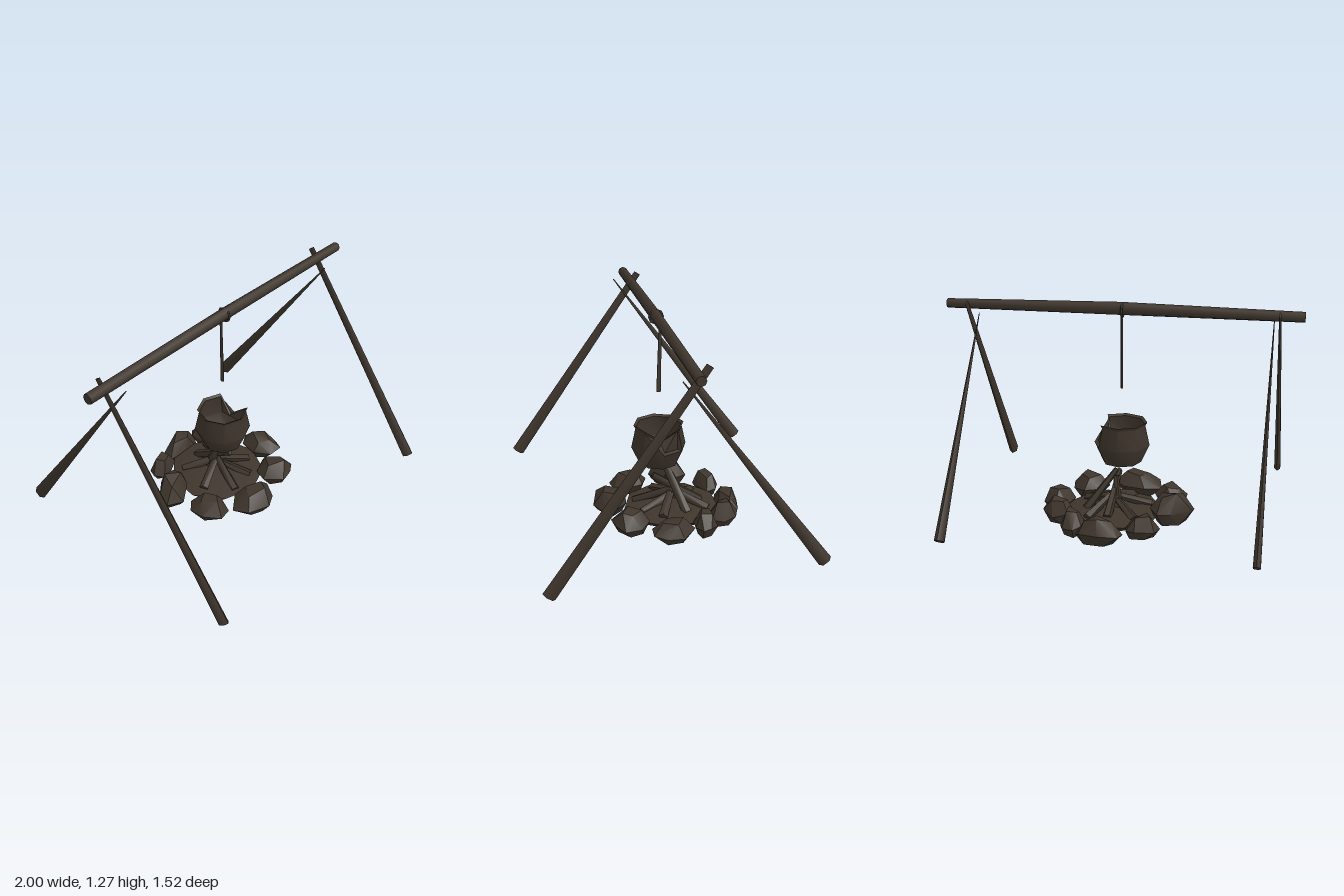
import * as THREE from 'three';
import { toCreasedNormals } from 'three/addons/utils/BufferGeometryUtils.js';
import { ConvexGeometry } from 'three/addons/geometries/ConvexGeometry.js';

const charredBrown = new THREE.MeshStandardMaterial({ color: 0x3f362d, side: THREE.DoubleSide });
charredBrown.name = 'charredBrown';

// Small seeded random generator
function makeRandom(seed) {
  return () => {
    seed = (seed * 16807) % 2147483647;
    return seed / 2147483647;
  };
}

function addMesh(parent, name, geometry) {
  const mesh = new THREE.Mesh(geometry, charredBrown);
  mesh.name = name;
  parent.add(mesh);
  return mesh;
}

// Tapered pole from a to b, with [x, z] radii at each end
function addPole(parent, name, a, b, [ax, az], [bx, bz], sides = 6) {
  const start = new THREE.Vector3(...a), end = new THREE.Vector3(...b);
  const dir = end.clone().sub(start);
  const geo = new THREE.CylinderGeometry(1, 1, dir.length(), sides);
  const p = geo.attributes.position;
  for (let i = 0; i < p.count; i++) {
    const top = p.getY(i) > 0;
    p.setX(i, p.getX(i) * (top ? bx : ax));
    p.setZ(i, p.getZ(i) * (top ? bz : az));
  }
  const mesh = addMesh(parent, name, toCreasedNormals(geo, 1.2));
  mesh.position.copy(start).add(end).multiplyScalar(0.5);
  mesh.quaternion.setFromUnitVectors(new THREE.Vector3(0, 1, 0), dir.normalize());
  return mesh;
}

// Irregular convex stone made of three jittered rings
function stoneGeometry(w, h, d, seed) {
  const random = makeRandom(seed * 7919 + 13);
  const points = [];
  for (const [y, r, n] of [[-0.5, 0.32, 5], [-0.08, 0.5, 7], [0.5, 0.27, 4]]) {
    const turn = random() * 6;
    for (let i = 0; i < n; i++) {
      const angle = turn + (i + (random() - 0.5) * 0.4) / n * Math.PI * 2;
      const radius = r * (0.9 + random() * 0.2);
      const lift = y < -0.4 ? 0 : (random() - 0.6) * 0.22;
      points.push(new THREE.Vector3(Math.cos(angle) * radius * w, (y + lift) * h, Math.sin(angle) * radius * d));
    }
  }
  return toCreasedNormals(new ConvexGeometry(points), 0.55);
}

export function createModel() {
  const model = new THREE.Group();
  model.name = 'campfire';

  // Crossbar, thickest in the middle
  const bar = new THREE.CylinderGeometry(0.027, 0.029, 2, 8, 2);
  const bp = bar.attributes.position;
  for (let i = 0; i < bp.count; i++) {
    if (Math.abs(bp.getY(i)) < 0.1) {
      bp.setX(i, bp.getX(i) * 1.3 - 0.008);
    }
  }
  bar.rotateZ(-Math.PI / 2);
  const crossbar = addMesh(model, 'crossbar', toCreasedNormals(bar, 0.9));
  crossbar.position.y = 1.221;
  crossbar.rotation.y = -0.006;

  // Front legs stay thick, back legs run to a point
  const base = [0.027, 0.038];
  addPole(model, 'frontLegLeft', [0.868, 0.09, 0.73], [0.86, 1.24, -0.073], base, [0.007, 0.021]);
  addPole(model, 'frontLegRight', [-0.88, 0.09, 0.73], [-0.868, 1.24, -0.073], [0.022, 0.038], [0.007, 0.021]);
  addPole(model, 'backLegLeft', [0.842, 0.09, -0.73], [0.832, 1.16, 0.05], base, [0.002, 0.003]);
  addPole(model, 'backLegRight', [-0.83, 0.09, -0.73], [-0.835, 1.22, 0.085], [0.023, 0.038], [0.002, 0.003]);

  // Hanger with its loop around the crossbar
  addPole(model, 'hangerRod', [-0.01, 0.78, -0.02], [-0.01, 1.23, -0.03], [0.007, 0.013], [0.006, 0.008]);
  const loop = addMesh(model, 'hangerLoop', new THREE.TorusGeometry(0.038, 0.007, 4, 8));
  loop.rotation.y = Math.PI / 2;
  loop.position.set(-0.01, 1.22, -0.005);

  // Open pot with a dent in its rim
  const profile = [[0, 0.345], [0.112, 0.345], [0.16, 0.45], [0.135, 0.565], [0.146, 0.585],
    [0.13, 0.575], [0.14, 0.45], [0.09, 0.37], [0, 0.365]];
  const potGeo = new THREE.LatheGeometry(profile.map(([x, y]) => new THREE.Vector2(x, y)), 8);
  const pp = potGeo.attributes.position;
  for (let i = 0; i < pp.count; i++) {
    if (pp.getY(i) < 0.56) continue;
    if (pp.getX(i) > 0.12) {
      pp.setY(i, pp.getY(i) - 0.075);
      pp.setX(i, pp.getX(i) - 0.07);
    }
  }
  const pot = addMesh(model, 'pot', toCreasedNormals(potGeo, 0.85));
  pot.position.set(-0.01, 0, -0.02);

  // Low bed of ash inside the ring
  const bedProfile = [[0, 0.045], [0.25, 0.045], [0.28, 0.075], [0.16, 0.1], [0, 0.11]];
  const bed = addMesh(model, 'ashBed', toCreasedNormals(
    new THREE.LatheGeometry(bedProfile.map(([x, y]) => new THREE.Vector2(x, y)), 9), 0.5));
  bed.position.set(0.02, 0, -0.09);

  // Ring of stones: x, z, width, depth, bottom, height, turn
  const stones = [
    [0.05, -0.41, 0.27, 0.14, 0, 0.15, 0],
    [-0.18, -0.35, 0.21, 0.13, 0.03, 0.12, 0.35],
    [0.21, -0.35, 0.14, 0.19, 0.02, 0.14, 0.5],
    [0.32, -0.22, 0.21, 0.14, 0.03, 0.14, -0.3],
    [0.36, -0.02, 0.2, 0.24, 0.035, 0.12, 0],
    [0.22, 0.19, 0.22, 0.22, 0.035, 0.13, 0.6],
    [-0.06, 0.26, 0.29, 0.21, 0.035, 0.14, 0],
    [-0.28, 0.11, 0.19, 0.23, 0.04, 0.12, 0.3],
    [-0.32, -0.14, 0.27, 0.18, 0.04, 0.18, 0.6],
  ];
  stones.forEach(([x, z, w, d, bottom, h, turn], i) => {
    const stone = addMesh(model, 'stone' + (i + 1), stoneGeometry(w, h, d, i + 1));
    stone.position.set(x, bottom + h / 2, z);
    stone.rotation.y = turn;
  });

  // Firewood leaning together under the pot
  const logs = [
    [[0.17, 0.09, -0.15], [0.01, 0.31, -0.065]],
    [[0.03, 0.09, -0.26], [0.01, 0.27, 0.02]],
    [[-0.01, 0.08, -0.13], [0.015, 0.27, -0.07]],
    [[-0.18, 0.09, -0.02], [0.03, 0.17, -0.1]],
    [[-0.12, 0.08, -0.24], [0.04, 0.17, -0.08]],
    [[0.14, 0.09, -0.28], [0.02, 0.18, -0.08]],
    [[0.2, 0.09, 0.0], [0, 0.17, -0.1]],
    [[-0.06, 0.08, 0.12], [0.02, 0.18, -0.1]],
    [[0.1, 0.08, 0.1], [0.0, 0.16, -0.14]],
  ];
  logs.forEach(([a, b], i) => addPole(model, 'log' + (i + 1), a, b, [0.028, 0.028], [0.016, 0.022], 5));

  return model;
}
